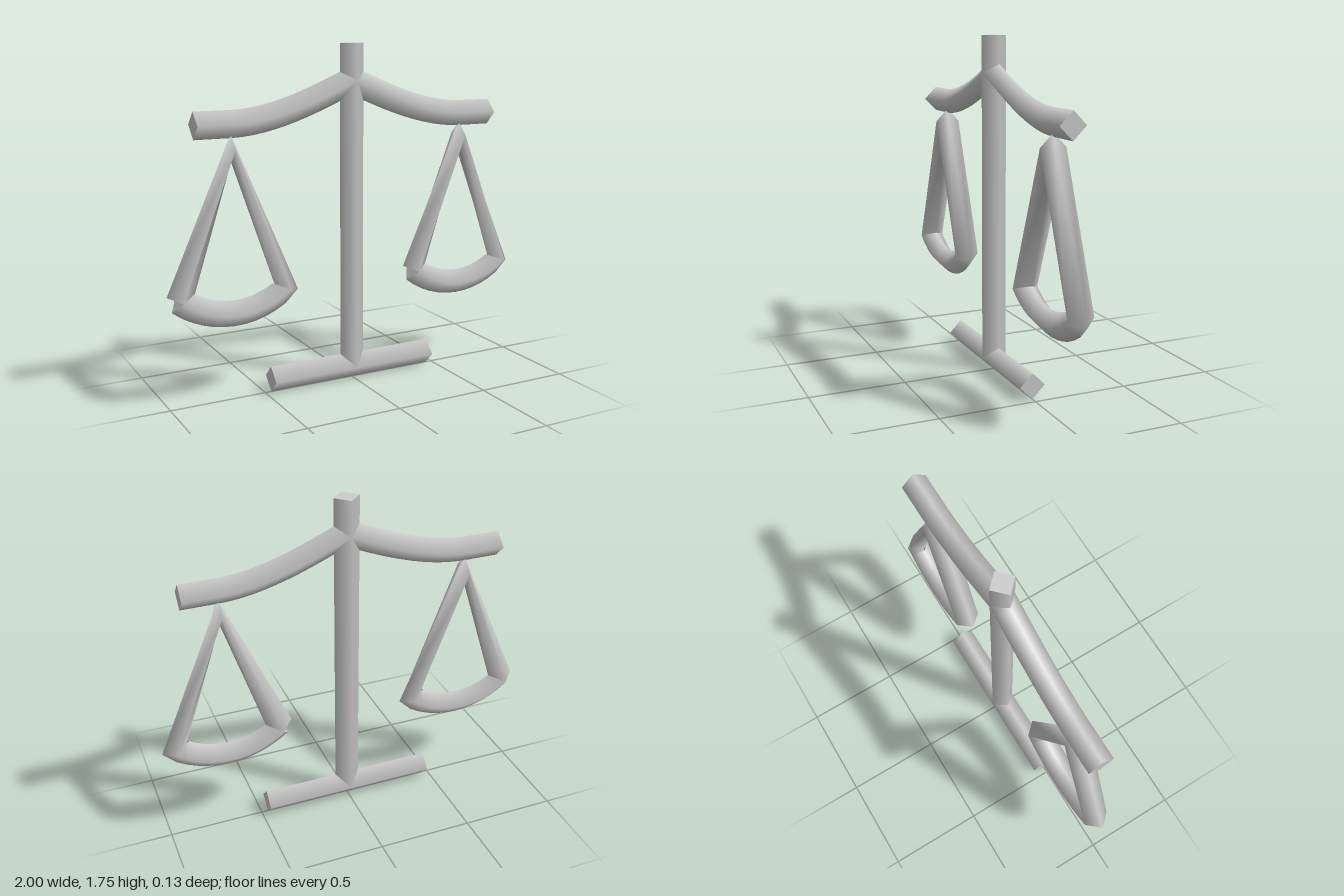
import * as THREE from 'three';

const R = 0.067; // half diagonal of the diamond-shaped bar

// Sweeps a four-sided, smooth-shaded bar along a path in the xy plane, mitred at each point, with flat end caps.
function barGeometry(path) {
  const pos = [], nor = [], idx = [];
  const dir = (a, b) => b.clone().sub(a).normalize();
  const last = path.length - 1;
  const rings = path.map((p, i) => {
    const t = new THREE.Vector2();
    if (i > 0) t.add(dir(path[i - 1], p));
    if (i < last) t.add(dir(p, path[i + 1]));
    t.normalize();
    const out = [[-t.y, t.x, 0], [0, 0, 1], [t.y, -t.x, 0], [0, 0, -1]];
    return { t, out, pts: out.map(n => [p.x + n[0] * R, p.y + n[1] * R, n[2] * R]) };
  });
  rings.forEach((r, i) => {
    for (let j = 0; j < 4; j++) {
      pos.push(...r.pts[j]);
      nor.push(...r.out[j]);
      if (i === last) continue;
      const k = (j + 1) % 4, a = i * 4 + j, d = i * 4 + k;
      idx.push(a, d, d + 4, a, d + 4, a + 4);
    }
  });
  // end caps
  for (const [r, s] of [[rings[0], -1], [rings[last], 1]]) {
    const b = pos.length / 3;
    r.pts.forEach(p => { pos.push(...p); nor.push(r.t.x * s, r.t.y * s, 0); });
    idx.push(...(s > 0 ? [b, b + 1, b + 2, b, b + 2, b + 3] : [b, b + 2, b + 1, b, b + 3, b + 2]));
  }
  const g = new THREE.BufferGeometry();
  g.setAttribute('position', new THREE.Float32BufferAttribute(pos, 3));
  g.setAttribute('normal', new THREE.Float32BufferAttribute(nor, 3));
  g.setIndex(idx);
  return g;
}

export function createModel() {
  const group = new THREE.Group();
  const grey = new THREE.MeshStandardMaterial({ color: 0xcccccc });
  grey.name = 'light grey';
  const v = (x, y) => new THREE.Vector2(x, y);
  const add = (name, geometry, x = 0) => {
    const mesh = new THREE.Mesh(geometry, grey);
    mesh.name = name;
    mesh.position.x = x;
    group.add(mesh);
  };

  // foot and post
  add('base', barGeometry([v(-0.467, R), v(0.467, R)]));
  add('post', barGeometry([v(0, 0.07), v(0, 1.755)]));

  // beam: straight tips, each half sagging down from the post
  const half = new THREE.CubicBezierCurve(v(0, 1.57), v(0.2, 1.48), v(0.44, 1.38), v(0.655, 1.38)).getPoints(12);
  half.push(v(0.84, 1.38));
  const mirrored = half.slice(1).reverse().map(p => v(-p.x, p.y));
  add('beam', barGeometry([...mirrored, ...half]));

  // hanging pan: two straight arms meeting at the top, closed by a shallow arc
  const arcR = 0.442, spread = Math.asin(0.28 / arcR);
  const pan = [v(-0.28, 0.545), v(0, 1.265)];
  for (let i = 0; i <= 12; i++) {
    const a = spread * (1 - i / 6);
    pan.push(v(Math.sin(a) * arcR, 0.445 + arcR * (1 - Math.cos(a))));
  }
  const panGeometry = barGeometry(pan);
  add('rightPan', panGeometry, -0.655);
  add('leftPan', panGeometry, 0.655);
  return group;
}
